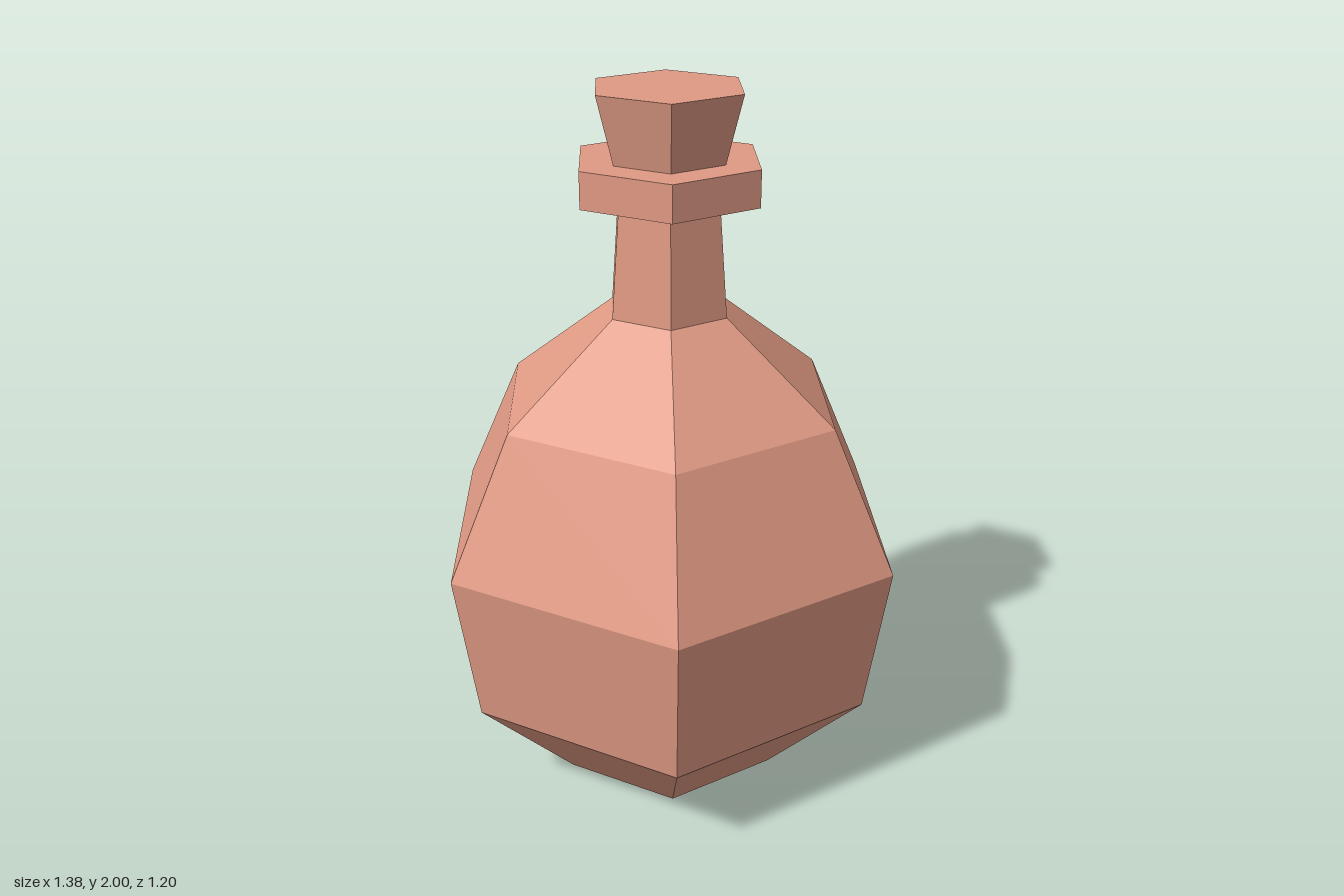
import * as THREE from 'three';

const SIDES = 6;
const START = Math.PI / 2; // puts a corner of the hexagon on the x axis

export function createModel() {
  const group = new THREE.Group();
  group.name = 'potionBottle';
  const material = new THREE.MeshStandardMaterial({ color: 0xe09a84, flatShading: true });

  const add = (name, geometry, y = 0) => {
    const faceted = geometry.toNonIndexed();
    faceted.computeVertexNormals();
    const mesh = new THREE.Mesh(faceted, material);
    mesh.name = name;
    mesh.position.y = y;
    group.add(mesh);
  };

  // Hexagonal frustum standing between two heights
  const frustum = (name, rBottom, rTop, y0, y1) =>
    add(name, new THREE.CylinderGeometry(rTop, rBottom, y1 - y0, SIDES, 1, false, START), (y0 + y1) / 2);

  // Base, belly and shoulders, turned from one profile
  const profile = [[0, 0], [0.34, 0], [0.627, 0.3], [0.692, 0.745], [0.503, 1.14], [0.177, 1.4]]
    .map(([r, y]) => new THREE.Vector2(r, y));
  add('body', new THREE.LatheGeometry(profile, SIDES, START));

  // Neck, running up into the lip
  frustum('neck', 0.177, 0.152, 1.4, 1.72);
  // Lip ring
  frustum('lip', 0.268, 0.268, 1.715, 1.815);
  // Flared stopper
  frustum('stopper', 0.167, 0.216, 1.815, 2);

  return group;
}
